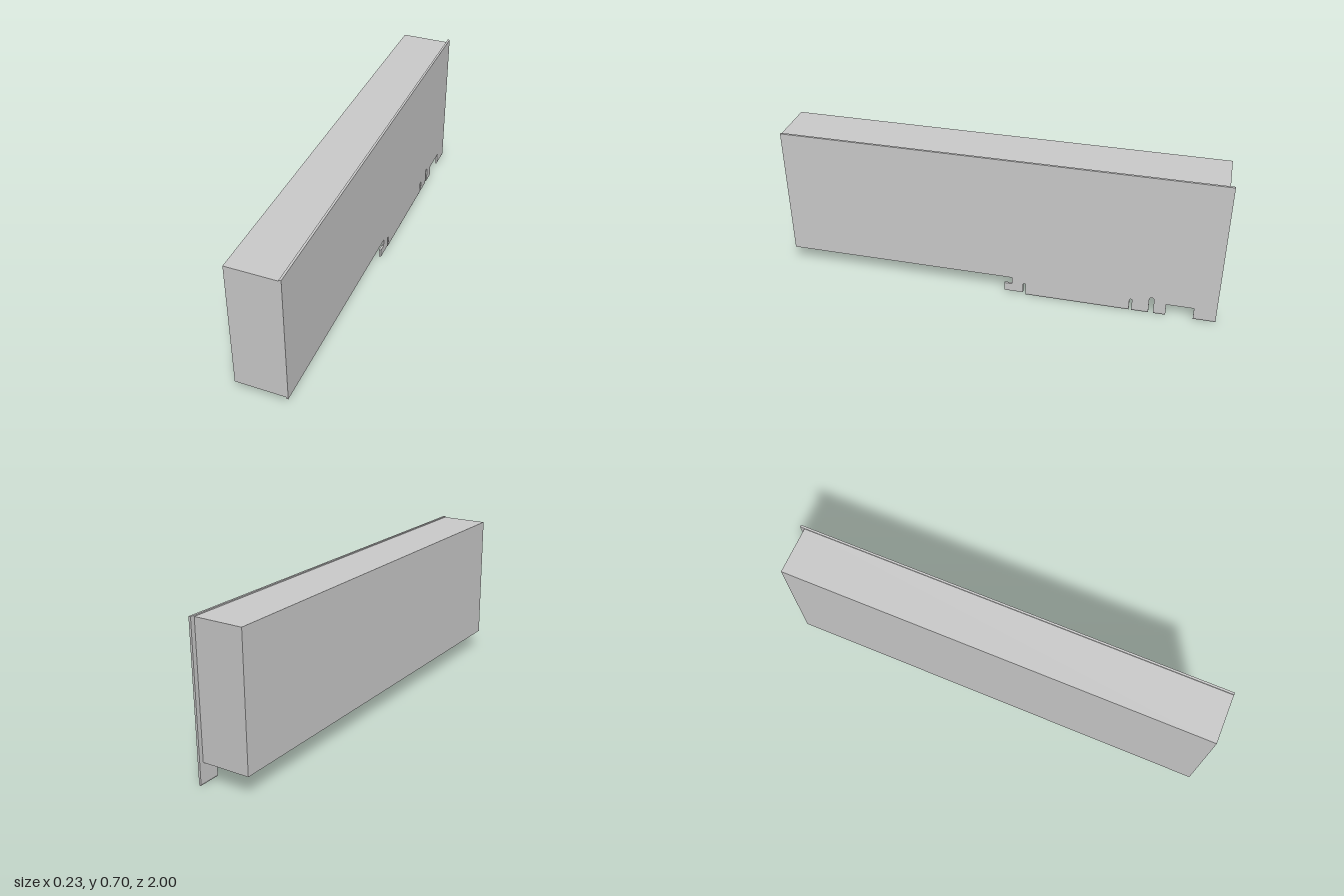
import * as THREE from 'three';

const material = new THREE.MeshStandardMaterial({ color: 0xcccccc, flatShading: true, side: THREE.DoubleSide });
const X0 = 0.107, X1 = 0.117; // board thickness
const BEVEL = 0.008; // height of the tapered contact edge

function addMesh(group, name, geometry) {
  const mesh = new THREE.Mesh(geometry, material);
  mesh.name = name;
  group.add(mesh);
  return mesh;
}

// Rounded-top slot cut upward between u0 and u1
function slot(shape, u0, u1, top, bottom0, bottom1) {
  const r = (u1 - u0) / 2;
  shape.lineTo(u0, bottom0);
  shape.lineTo(u0, top - r);
  shape.absarc(u0 + r, top - r, r, Math.PI, 0, true);
  shape.lineTo(u1, bottom1);
}

export function createModel() {
  const group = new THREE.Group();

  // Cooler housing
  addMesh(group, 'housing', new THREE.BoxGeometry(0.224, 0.6, 1.98)).position.set(-0.005, 0.395, 0.01);

  // Circuit board outline, drawn from front to back (u = -z)
  const s = new THREE.Shape();
  s.moveTo(-1, 0.7);
  s.lineTo(-1, 0.087);
  s.lineTo(0.07, 0.087);
  // Retention hook
  s.lineTo(0.07, 0.052);
  s.lineTo(0.033, 0.052);
  s.lineTo(0.033, 0.012);
  // Contact edge with key slots
  slot(s, 0.121, 0.134, 0.062, 0.012, BEVEL);
  slot(s, 0.612, 0.624, 0.062, BEVEL, BEVEL);
  slot(s, 0.7, 0.722, 0.086, BEVEL, BEVEL);
  s.lineTo(0.777, BEVEL);
  s.lineTo(0.777, 0.06);
  s.lineTo(0.9, 0.06);
  s.lineTo(0.9, BEVEL);
  s.lineTo(1, BEVEL);
  s.lineTo(1, 0.7);
  s.closePath();
  const board = new THREE.ExtrudeGeometry(s, { depth: X1 - X0, bevelEnabled: false, curveSegments: 8 });
  board.rotateY(Math.PI / 2).translate(X0, 0, 0);
  addMesh(group, 'circuitBoard', board);

  // Tapered lower edges of the contact tabs
  const taper = new THREE.Shape([
    new THREE.Vector2(X0, BEVEL), new THREE.Vector2(X0 + 0.003, 0),
    new THREE.Vector2(X1 - 0.003, 0), new THREE.Vector2(X1, BEVEL),
  ]);
  for (const [u0, u1] of [[0.134, 0.612], [0.624, 0.7], [0.722, 0.777], [0.9, 1]]) {
    const edge = new THREE.ExtrudeGeometry(taper, { depth: u1 - u0, bevelEnabled: false });
    addMesh(group, 'contactEdge', edge.translate(0, 0, -u1));
  }
  return group;
}
